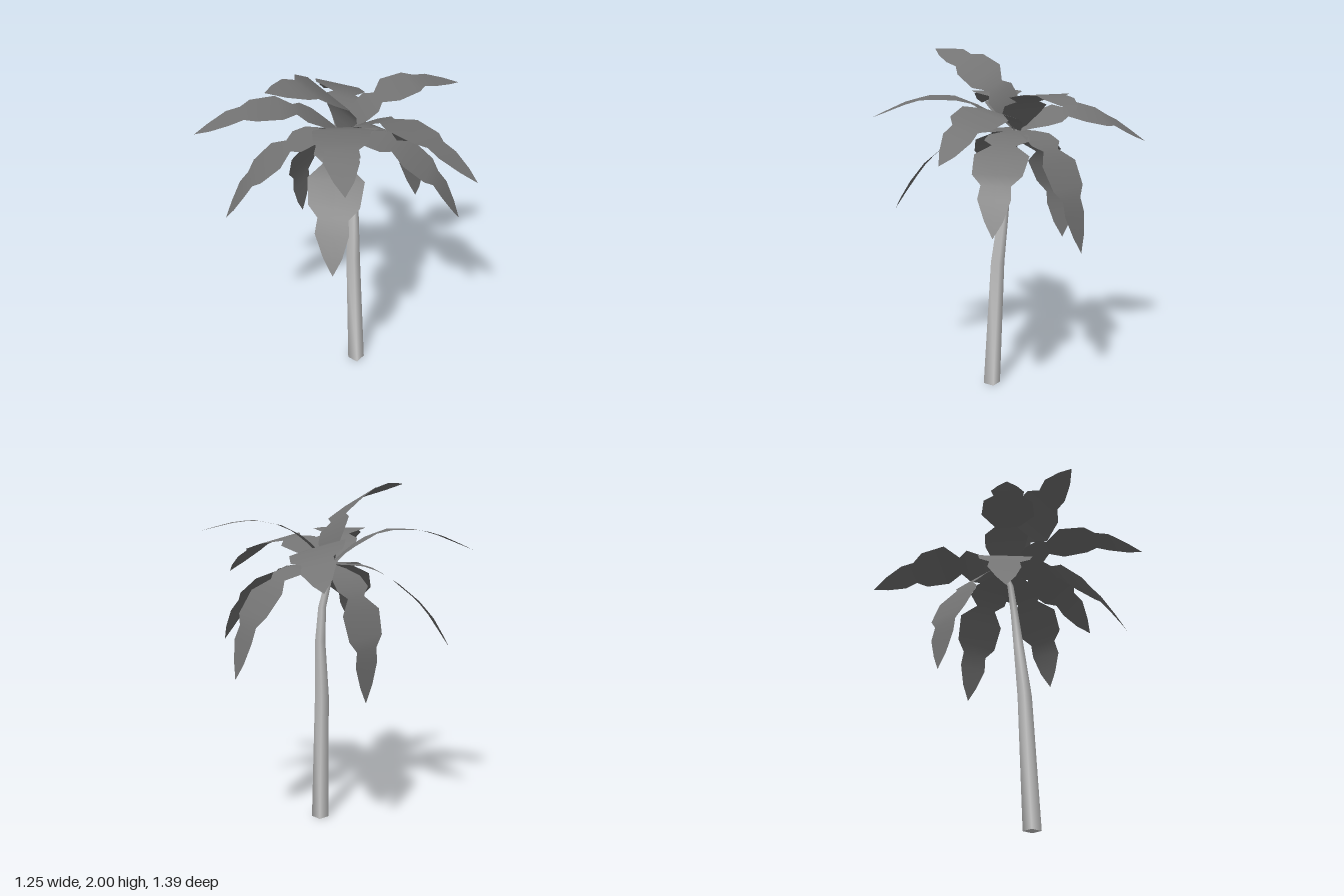
import * as THREE from 'three';

const trunkMaterial = new THREE.MeshStandardMaterial({ color: 0xcccccc, side: THREE.DoubleSide });
const frondMaterial = new THREE.MeshStandardMaterial({ color: 0x747474, side: THREE.DoubleSide });

// Lobed frond outline: [fraction along spine, right half width, left half width]
const OUTLINE = [
  [0, 0.025, 0.025], [0.1, 0.07, 0.07], [0.2, 0.12, 0.115], [0.29, 0.125, 0.13],
  [0.35, 0.07, 0.065], [0.45, 0.15, 0.155], [0.61, 0.14, 0.135], [0.68, 0.085, 0.08],
  [0.77, 0.095, 0.085], [0.9, 0.05, 0.05], [1, 0, 0],
];

// Spine points after the shared root, and the direction across the blade
const UPPER = [
  { side: [1, -0.2, 0], spine: [[0.05, 1.66, 0.05], [0.06, 1.69, 0.2], [0.08, 1.63, 0.43], [0.1, 1.47, 0.695]] },
  { side: [-0.56, 0, 0.83], spine: [[0.15, 1.71, -0.03], [0.3, 1.785, 0.06], [0.45, 1.785, 0.14], [0.625, 1.735, 0.25]] },
  { side: [0.7, -0.3, 0.71], spine: [[0.17, 1.63, -0.21], [0.29, 1.66, -0.33], [0.43, 1.61, -0.49], [0.58, 1.465, -0.7]] },
  { side: [0.64, 0, -0.77], spine: [[-0.09, 1.66, -0.23], [-0.23, 1.74, -0.34], [-0.4, 1.73, -0.48], [-0.59, 1.63, -0.66]] },
  { side: [0.63, 0, 0.78], spine: [[-0.11, 1.66, -0.04], [-0.26, 1.74, 0.08], [-0.43, 1.73, 0.21], [-0.63, 1.63, 0.38]] },
  { side: [0, -0.42, 1], spine: [[-0.03, 1.72, -0.1], [-0.14, 1.85, -0.085], [-0.33, 1.945, -0.09], [-0.57, 2, -0.145]] },
];
const LOWER = [
  { side: [-0.1, 0, 1], spine: [[0.2, 1.54, -0.08], [0.37, 1.42, -0.02], [0.485, 1.22, 0.015], [0.56, 0.935, 0.035]] },
  { side: [1, -0.05, -0.1], spine: [[0.05, 1.49, -0.3], [0.07, 1.37, -0.41], [0.09, 1.17, -0.5], [0.12, 0.835, -0.53]] },
  { side: [0.93, 0, -0.37], spine: [[0.09, 1.54, 0.05], [0.17, 1.45, 0.25], [0.24, 1.29, 0.4], [0.29, 1.08, 0.5]] },
  { side: [0.45, 0, 0.9], spine: [[-0.2, 1.54, 0], [-0.36, 1.43, 0.11], [-0.49, 1.26, 0.19], [-0.58, 1.08, 0.255]] },
  { side: [0.64, 0, -0.77], spine: [[-0.13, 1.54, -0.27], [-0.27, 1.44, -0.39], [-0.4, 1.28, -0.5], [-0.5, 1.08, -0.58]] },
];

function mesh(name, positions, indices, material) {
  const geometry = new THREE.BufferGeometry();
  geometry.setAttribute('position', new THREE.Float32BufferAttribute(positions, 3));
  geometry.setIndex(indices);
  geometry.computeVertexNormals();
  const result = new THREE.Mesh(geometry, material);
  result.name = name;
  return result;
}

// Join consecutive rows of n points with quads, optionally closing each row
function stitch(rows, n, closed) {
  const indices = [];
  for (let r = 0; r < rows - 1; r++) {
    for (let c = 0; c < (closed ? n : n - 1); c++) {
      const a = r * n + c, b = r * n + (c + 1) % n;
      indices.push(a, b, a + n, a + n, b, b + n);
    }
  }
  return indices;
}

// Thin blade swept along its arching spine
function frond(name, { spine, side }) {
  const points = [[0.025, 1.55, -0.145], ...spine].map((p) => new THREE.Vector3(...p));
  const curve = new THREE.CatmullRomCurve3(points);
  const across = new THREE.Vector3(...side).normalize();
  // keep the upper face as the front
  const up = new THREE.Vector3().crossVectors(across, points[4].clone().sub(points[0]));
  if (up.y < 0) across.negate();
  const positions = [];
  for (const [t, right, left] of OUTLINE) {
    const p = curve.getPointAt(t);
    for (const w of [-left, 0, right]) positions.push(...p.clone().addScaledVector(across, w).toArray());
  }
  return mesh(name, positions, stitch(OUTLINE.length, 3, false), frondMaterial);
}

// Leaning, tapering square trunk with soft shading: [x, y, z, half width]
function trunk() {
  const sections = [
    [-0.05, 0, 0.015, 0.036], [-0.03, 0.77, -0.02, 0.029], [0.002, 1.1, -0.04, 0.021],
    [0.01, 1.3, -0.065, 0.016], [-0.002, 1.47, -0.11, 0.013], [0.015, 1.555, -0.14, 0.012],
  ];
  const positions = [];
  for (const [x, y, z, h] of sections) {
    positions.push(x - h, y, z + h, x + h, y, z + h, x + h, y, z - h, x - h, y, z - h);
  }
  return mesh('trunk', positions, stitch(sections.length, 4, true), trunkMaterial);
}

export function createModel() {
  const model = new THREE.Group();
  model.name = 'palmTree';
  model.add(trunk());

  // Flat underside of the trunk
  const base = new THREE.Mesh(new THREE.PlaneGeometry(0.072, 0.072), trunkMaterial);
  base.name = 'trunkBase';
  base.rotation.x = Math.PI / 2;
  base.position.set(-0.05, 0, 0.015);
  model.add(base);

  // Raised fronds above, drooping fronds below
  const crown = new THREE.Group();
  crown.name = 'crown';
  UPPER.forEach((leaf, i) => crown.add(frond(`upperFrond${i + 1}`, leaf)));
  LOWER.forEach((leaf, i) => crown.add(frond(`lowerFrond${i + 1}`, leaf)));
  model.add(crown);
  return model;
}
